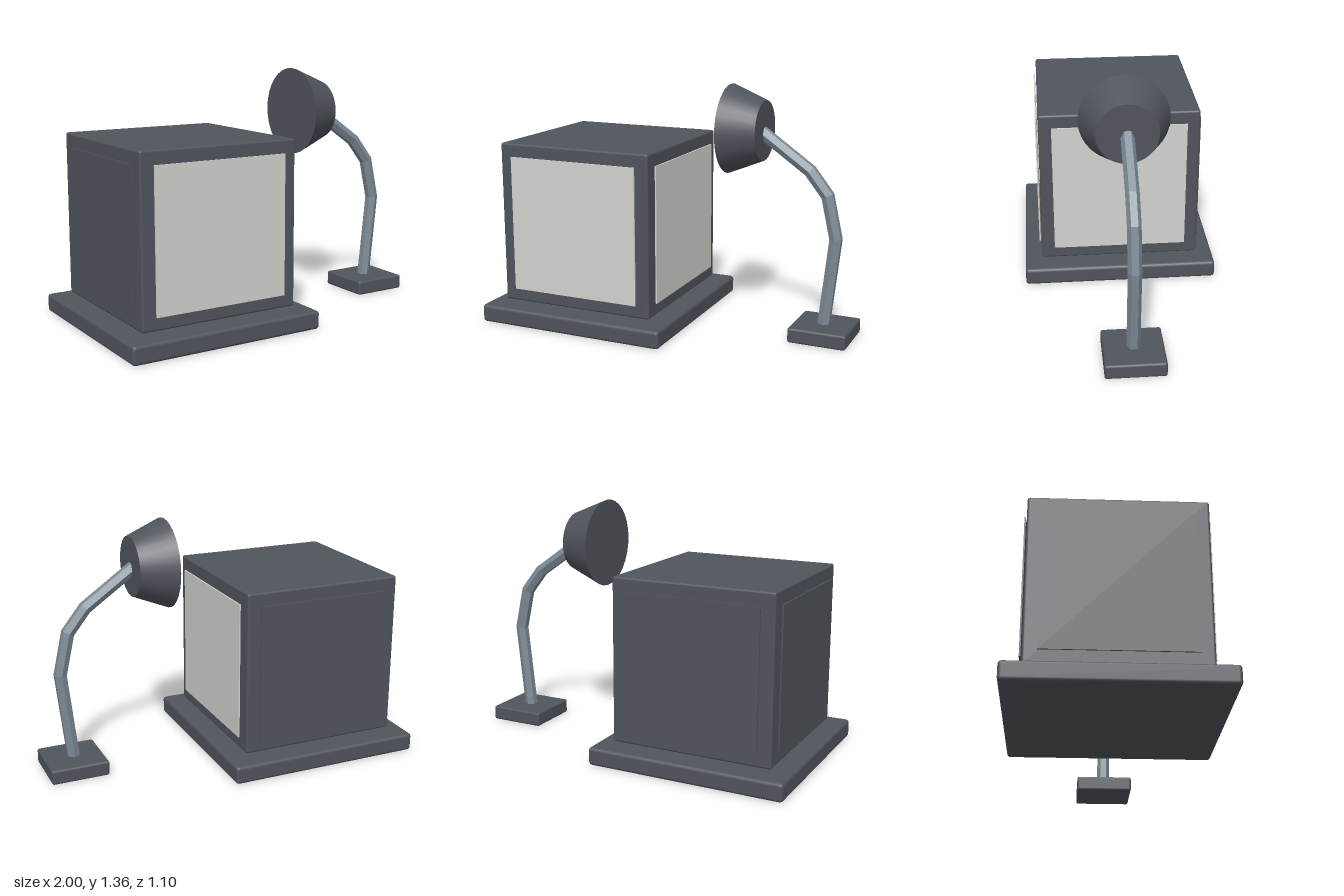
import * as THREE from 'three';
import { RoundedBoxGeometry } from 'three/addons/geometries/RoundedBoxGeometry.js';

const charcoal = new THREE.MeshStandardMaterial({ color: 0x50545c });
charcoal.name = 'charcoal';
const screenGrey = new THREE.MeshStandardMaterial({ color: 0xd2d2ce });
screenGrey.name = 'paleScreen';
const steel = new THREE.MeshStandardMaterial({ color: 0x7d8b96, flatShading: true });
steel.name = 'steel';

function add(parent, name, geometry, material, x = 0, y = 0, z = 0) {
  const mesh = new THREE.Mesh(geometry, material);
  mesh.name = name;
  mesh.position.set(x, y, z);
  parent.add(mesh);
  return mesh;
}

// Hexagonal bar swept along points in the xy plane, mitred at each bend
function hexBar(points, radius) {
  const sides = 6, pos = [], index = [];
  const pts = points.map(([x, y]) => new THREE.Vector2(x, y));
  pts.forEach((p, i) => {
    const a = pts[Math.max(i - 1, 0)], b = pts[Math.min(i + 1, pts.length - 1)];
    const into = (i ? p.clone().sub(a) : b.clone().sub(p)).normalize();
    const out = (i < pts.length - 1 ? b.clone().sub(p) : p.clone().sub(a)).normalize();
    const dir = into.clone().add(out).normalize();
    const mitre = radius / dir.dot(into);
    for (let s = 0; s < sides; s++) {
      const t = (s / sides) * Math.PI * 2;
      const n = Math.sin(t) * mitre;
      pos.push(p.x + dir.y * n, p.y - dir.x * n, Math.cos(t) * radius);
    }
  });
  for (let i = 0; i < pts.length - 1; i++) {
    for (let s = 0; s < sides; s++) {
      const a = i * sides + s, b = i * sides + ((s + 1) % sides);
      index.push(a, b, a + sides, b, b + sides, a + sides);
    }
  }
  // End caps
  const last = (pts.length - 1) * sides;
  for (let s = 1; s < sides - 1; s++) {
    index.push(0, s + 1, s, last, last + s, last + s + 1);
  }
  const g = new THREE.BufferGeometry();
  g.setAttribute('position', new THREE.Float32BufferAttribute(pos, 3));
  g.setIndex(index);
  const flat = g.toNonIndexed();
  flat.computeVertexNormals();
  return flat;
}

export function createModel() {
  const model = new THREE.Group();
  model.name = 'lightBoxAndLamp';

  // Box standing just above its plinth
  const box = new THREE.Group();
  box.name = 'lightBox';
  box.position.x = -0.45;
  model.add(box);
  add(box, 'plinth', new RoundedBoxGeometry(1.1, 0.1, 1.1, 2, 0.018), charcoal, 0, 0.05, 0);
  add(box, 'body', new RoundedBoxGeometry(0.9, 0.9, 0.9, 2, 0.012), charcoal, 0, 0.57, 0);

  // Thin panels: pale on the front and left, dark on the back and right
  const names = ['frontScreen', 'leftScreen', 'backPanel', 'rightPanel'];
  names.forEach((name, i) => {
    const angle = (i * Math.PI) / 2;
    const panel = add(box, name, new THREE.BoxGeometry(0.755, 0.755, 0.008),
      i < 2 ? screenGrey : charcoal, Math.sin(angle) * 0.461, 0.57, Math.cos(angle) * 0.461);
    panel.rotation.y = angle;
  });

  // Lamp
  const lamp = new THREE.Group();
  lamp.name = 'lamp';
  model.add(lamp);
  add(lamp, 'lampBase', new RoundedBoxGeometry(0.32, 0.082, 0.32, 2, 0.012), charcoal, 0.84, 0.041, 0);
  add(lamp, 'lampArm', hexBar([
    [0.834, 0.05], [0.888, 0.557], [0.836, 0.788], [0.736, 0.914], [0.46, 1.107],
  ], 0.036), steel);
  const shade = add(lamp, 'lampShade', new THREE.CylinderGeometry(0.243, 0.163, 0.195, 32),
    charcoal, 0.3825, 1.112, 0);
  shade.rotation.z = Math.PI / 2;

  return model;
}
